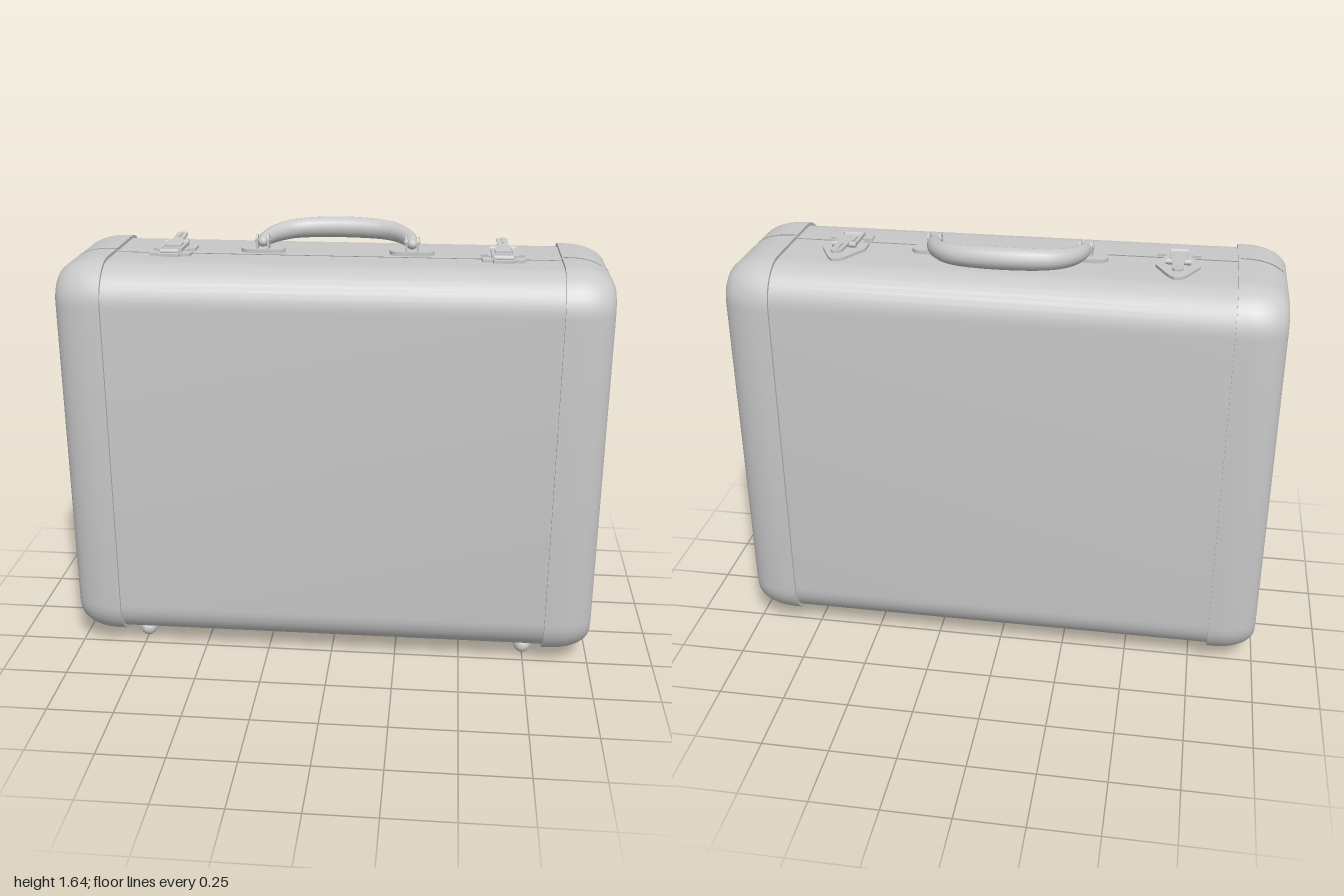
import * as THREE from 'three';
import { toCreasedNormals } from 'three/addons/utils/BufferGeometryUtils.js';

const TOP = 1.555, BOTTOM = 0.045, TOP_SKIN = 1.543;

// Half of a rounded rectangle in (z, y), open along the seam
function halfProfile(side, inset, collapsed) {
  const seam = side > 0 ? 0.05 : 0.04;
  const depth = (side > 0 ? 0.333 : 0.338) - inset;
  const top = TOP - inset, bottom = BOTTOM + inset, r = 0.155 - inset;
  const pts = [[seam, top]];
  for (const [cy, start] of [[top - r, Math.PI / 2], [bottom + r, 0]]) {
    for (let i = 0; i <= 10; i++) {
      const a = start - (i / 10) * Math.PI / 2;
      pts.push([side * (depth - r + r * Math.cos(a)), cy + r * Math.sin(a)]);
    }
  }
  pts.push([seam, bottom]);
  return collapsed ? pts.map(([, y]) => [seam, y]) : pts;
}

// Skin stretched over half profiles; rows are [x, inset, collapsed]
function shell(rows, side, mirror) {
  const pos = [], index = [];
  let n = 0;
  for (const [x, inset, collapsed] of rows) {
    const profile = halfProfile(side, inset, collapsed);
    n = profile.length;
    for (const [z, y] of profile) pos.push(x * mirror, y, z);
  }
  for (let i = 0; i < rows.length - 1; i++) {
    for (let j = 0; j < n - 1; j++) {
      const a = i * n + j, b = a + 1, c = a + n, d = c + 1;
      if (side * mirror > 0) index.push(a, b, c, b, d, c);
      else index.push(a, c, b, b, c, d);
    }
  }
  const g = new THREE.BufferGeometry();
  g.setAttribute('position', new THREE.Float32BufferAttribute(pos, 3));
  g.setIndex(index);
  return toCreasedNormals(g, 0.6);
}

// Flat plate lying on y = 0, outlined in (x, z)
function plate(outline, height) {
  const shape = new THREE.Shape(outline.map(([x, z]) => new THREE.Vector2(x, -z)));
  return new THREE.ExtrudeGeometry(shape, { depth: height, bevelEnabled: false }).rotateX(-Math.PI / 2);
}

// Stadium outline along x
function stadium(halfLength, r) {
  const pts = [];
  for (let i = 0; i <= 20; i++) {
    const a = -Math.PI / 2 + (i / 20) * Math.PI * 2;
    const sx = i <= 10 ? 1 : -1;
    pts.push([sx * (halfLength - r) + r * Math.cos(a), r * Math.sin(a)]);
  }
  return pts;
}

export function createModel() {
  const root = new THREE.Group();
  root.name = 'suitcase';
  const grey = new THREE.MeshStandardMaterial({ color: 0xc8c8c8, side: THREE.DoubleSide });
  grey.name = 'grey';

  const add = (parent, name, geometry, x = 0, y = 0, z = 0) => {
    const mesh = new THREE.Mesh(geometry, grey);
    mesh.name = name;
    mesh.position.set(x, y, z);
    parent.add(mesh);
    return mesh;
  };

  // Two open shells with rounded end caps and recessed end panels
  const capRows = [[0.82, 0.014], [0.82, 0]];
  for (let i = 0; i <= 10; i++) {
    const t = (i / 10) * Math.PI / 2;
    capRows.push([0.85 + 0.15 * Math.sin(t), 0.08 * (1 - Math.cos(t))]);
  }
  capRows.push([0.992, 0.084], [0.992, 0.084, true]);
  for (const side of [1, -1]) {
    const half = side > 0 ? 'front' : 'back';
    add(root, half + 'Shell', shell([[-0.83, 0.012], [0.83, 0.012]], side, 1));
    for (const m of [1, -1]) {
      add(root, half + (m > 0 ? 'Left' : 'Right') + 'EndCap', shell(capRows, side, m));
    }
  }

  // Ball feet
  for (const x of [-0.75, 0.75]) {
    for (const z of [0.18, -0.135]) {
      add(root, 'foot', new THREE.SphereGeometry(0.032, 20, 14), x, 0.032, z);
    }
  }

  // Carrying handle, folded back, thick in the middle
  const half = [[0.277, 1.582, 0.0], [0.268, 1.585, -0.06], [0.235, 1.59, -0.13], [0.17, 1.596, -0.185]];
  const points = [
    ...half.map(([x, y, z]) => new THREE.Vector3(-x, y, z)),
    new THREE.Vector3(0, 1.6, -0.21),
    ...half.slice().reverse().map(([x, y, z]) => new THREE.Vector3(x, y, z)),
  ];
  const path = new THREE.CatmullRomCurve3(points);
  const rings = 48, radial = 14;
  const grip = new THREE.TubeGeometry(path, rings, 0.04, radial);
  const p = grip.attributes.position, v = new THREE.Vector3();
  for (let i = 0; i <= rings; i++) {
    const centre = path.getPointAt(i / rings);
    const k = 0.45 + 0.55 * Math.pow(Math.sin(Math.PI * i / rings), 0.6);
    for (let j = 0; j <= radial; j++) {
      const q = i * (radial + 1) + j;
      v.fromBufferAttribute(p, q).sub(centre).multiplyScalar(k).add(centre);
      p.setXYZ(q, v.x, v.y, v.z);
    }
  }
  grip.computeVertexNormals();
  add(root, 'handleGrip', grip);

  // Handle mounts: base plate, two lugs and a pivot pin
  for (const m of [1, -1]) {
    const mount = new THREE.Group();
    mount.name = 'handleMount';
    mount.position.set(m * 0.277, TOP_SKIN, -0.015);
    root.add(mount);
    add(mount, 'mountPlate', plate(stadium(0.083, 0.038), 0.014));
    for (const s of [1, -1]) {
      const x = s * 0.021;
      add(mount, 'mountLug', new THREE.BoxGeometry(0.008, 0.045, 0.036), x, 0.025, 0.01);
      add(mount, 'lugEye', new THREE.CylinderGeometry(0.018, 0.018, 0.008, 16).rotateZ(Math.PI / 2), x, 0.048, 0.01);
    }
    add(mount, 'pivotPin', new THREE.CylinderGeometry(0.007, 0.007, 0.058, 10).rotateZ(Math.PI / 2), 0, 0.045, 0.01);
    add(mount, 'handleEnd', new THREE.SphereGeometry(0.019, 14, 10), 0, 0.039, 0.012);
  }

  // Latches across the seam and hinges underneath
  for (const m of [1, -1]) {
    const latch = new THREE.Group();
    latch.name = 'latch';
    latch.position.set(m * 0.61, TOP_SKIN, 0);
    root.add(latch);
    add(latch, 'latchPlate', plate([[-0.055, 0.035], [-0.055, 0.015], [-0.08, 0.01], [-0.08, -0.055],
      [-0.03, -0.155], [-0.012, -0.175], [0.012, -0.175], [0.03, -0.155],
      [0.08, -0.055], [0.08, 0.01], [0.055, 0.015], [0.055, 0.035]], 0.01));
    add(latch, 'catchPlate', plate([[-0.08, 0.055], [0.08, 0.055], [0.075, 0.1], [0.04, 0.1],
      [0.036, 0.113], [-0.036, 0.113], [-0.04, 0.1], [-0.075, 0.1]], 0.01));
    add(latch, 'catchHook', new THREE.CylinderGeometry(0.011, 0.011, 0.07, 12).rotateZ(Math.PI / 2), 0, 0.014, 0.085);
    for (const s of [1, -1]) {
      add(latch, 'linkArm', new THREE.BoxGeometry(0.012, 0.012, 0.14), s * 0.038, 0.018, 0.02);
    }
    add(latch, 'linkBar', new THREE.BoxGeometry(0.076, 0.01, 0.018), 0, 0.018, 0.05);
    add(latch, 'leverPin', new THREE.CylinderGeometry(0.011, 0.011, 0.09, 12).rotateZ(Math.PI / 2), 0, 0.02, -0.045);
    const lever = add(latch, 'lever', plate([[-0.03, 0.03], [0.03, 0.03], [0.03, -0.02], [0.02, -0.06],
      [0.02, -0.15], [0.01, -0.165], [-0.01, -0.165], [-0.02, -0.15], [-0.02, -0.06], [-0.03, -0.02]], 0.009), 0, 0.019, 0);
    lever.rotation.x = 0.05;
    add(latch, 'leverRib', new THREE.BoxGeometry(0.008, 0.006, 0.06), 0, 0.035, -0.11);

    const hinge = new THREE.Group();
    hinge.name = 'hinge';
    hinge.position.set(m * 0.63, 0.052, 0.045);
    root.add(hinge);
    for (const s of [1, -1]) {
      add(hinge, 'hingeLeaf', new THREE.BoxGeometry(0.12, 0.01, 0.045), 0, 0, s * 0.03);
    }
    add(hinge, 'hingeBarrel', new THREE.CylinderGeometry(0.009, 0.009, 0.08, 12).rotateZ(Math.PI / 2));
  }

  return root;
}
